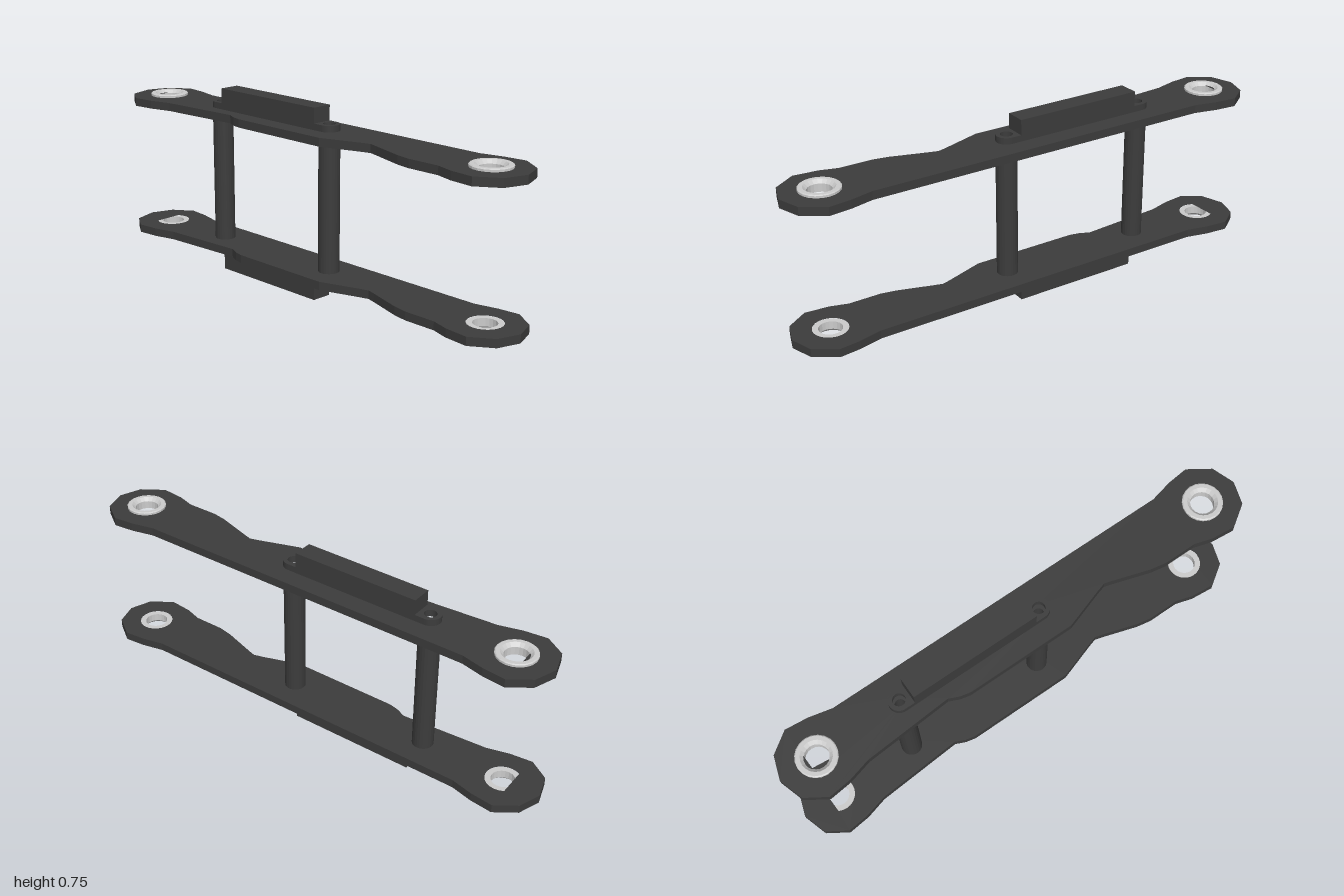
import * as THREE from 'three';

const HEIGHT = 0.755;
const POSTS = [0.098, -0.505];
const EYES = [0.85, -0.85];

const dark = new THREE.MeshStandardMaterial({ color: 0x3c3c3c });
const metal = new THREE.MeshStandardMaterial({ color: 0xcccccc, flatShading: true });

// Plan outlines use (x, -z), so extrusion depth becomes height after the turn
function slab(shape, y0, y1, curveSegments = 12) {
  const g = new THREE.ExtrudeGeometry(shape, { depth: y1 - y0, bevelEnabled: false, curveSegments });
  return g.rotateX(-Math.PI / 2).translate(0, y0, 0);
}

function addHole(shape, z, r) {
  shape.holes.push(new THREE.Path().absarc(0, -z, r, 0, Math.PI * 2, true));
}

function add(parent, name, geometry, material) {
  const mesh = new THREE.Mesh(geometry, material);
  mesh.name = name;
  parent.add(mesh);
  return mesh;
}

// Long arm plate with rounded ends and a waist on one edge
function plateShape() {
  const outline = [
    [0, -1], [0.09, -0.97], [0.147, -0.89], [0.138, -0.80], [0.117, -0.71],
    [0.117, 0.71], [0.138, 0.80], [0.147, 0.885], [0.09, 0.97], [0, 1],
    [-0.09, 0.97], [-0.147, 0.885], [-0.138, 0.79], [-0.117, 0.72],
    [-0.117, 0.59], [-0.106, 0.53], [-0.062, 0.39], [-0.052, 0.355],
    [-0.062, 0.32], [-0.102, 0.20], [-0.115, 0.16], [-0.115, -0.28],
    [-0.106, -0.32], [-0.088, -0.36], [-0.113, -0.71], [-0.137, -0.80],
    [-0.147, -0.89], [-0.095, -0.97],
  ];
  const s = new THREE.Shape(outline.map(([x, z]) => new THREE.Vector2(x, -z)));
  EYES.forEach((z) => addHole(s, z, 0.067));
  POSTS.forEach((z) => addHole(s, z, 0.021));
  return s;
}

// Flanged bushing, flush inside the plate and proud on the outer face
function bushing() {
  const profile = [
    [0.045, 0.637], [0.067, 0.637], [0.067, 0.67], [0.077, 0.67],
    [0.077, 0.678], [0.073, 0.681], [0.058, 0.681], [0.045, 0.668], [0.045, 0.637],
  ].map(([r, y]) => new THREE.Vector2(r, y));
  return new THREE.LatheGeometry(profile, 20);
}

// Rounded foot carrying the raised grip block
function footShape() {
  const r = 0.041;
  const s = new THREE.Shape();
  s.absarc(0, -POSTS[1], r, 0, Math.PI, false);
  s.absarc(0, -POSTS[0], r, Math.PI, Math.PI * 2, false);
  POSTS.forEach((z) => addHole(s, z, 0.024));
  return s;
}

function outerHardware(name) {
  const g = new THREE.Group();
  g.name = name;
  add(g, 'mountingFoot', slab(footShape(), 0.67, 0.695), dark);
  const block = new THREE.BoxGeometry(0.082, HEIGHT - 0.67, 0.524);
  add(g, 'gripBlock', block.translate(0, (HEIGHT + 0.67) / 2, -0.203), dark);
  EYES.forEach((z) => add(g, 'bushing', bushing(), metal).position.set(0, 0, z));
  return g;
}

export function createModel() {
  const model = new THREE.Group();
  model.name = 'linkArmAssembly';

  // Two identical plates
  add(model, 'upperPlate', slab(plateShape(), 0.637, 0.67), dark);
  add(model, 'lowerPlate', slab(plateShape(), 0.086, 0.119), dark);

  // Hollow spacer posts between the plates
  POSTS.forEach((z) => {
    const ring = new THREE.Shape().absarc(0, -z, 0.041, 0, Math.PI * 2, false);
    addHole(ring, z, 0.021);
    add(model, 'spacerPost', slab(ring, 0.119, 0.637), dark);
  });

  // Hardware on the outer faces, the lower set turned over
  model.add(outerHardware('upperHardware'));
  const lower = outerHardware('lowerHardware');
  lower.rotation.z = Math.PI;
  lower.position.y = HEIGHT;
  model.add(lower);

  return model;
}
